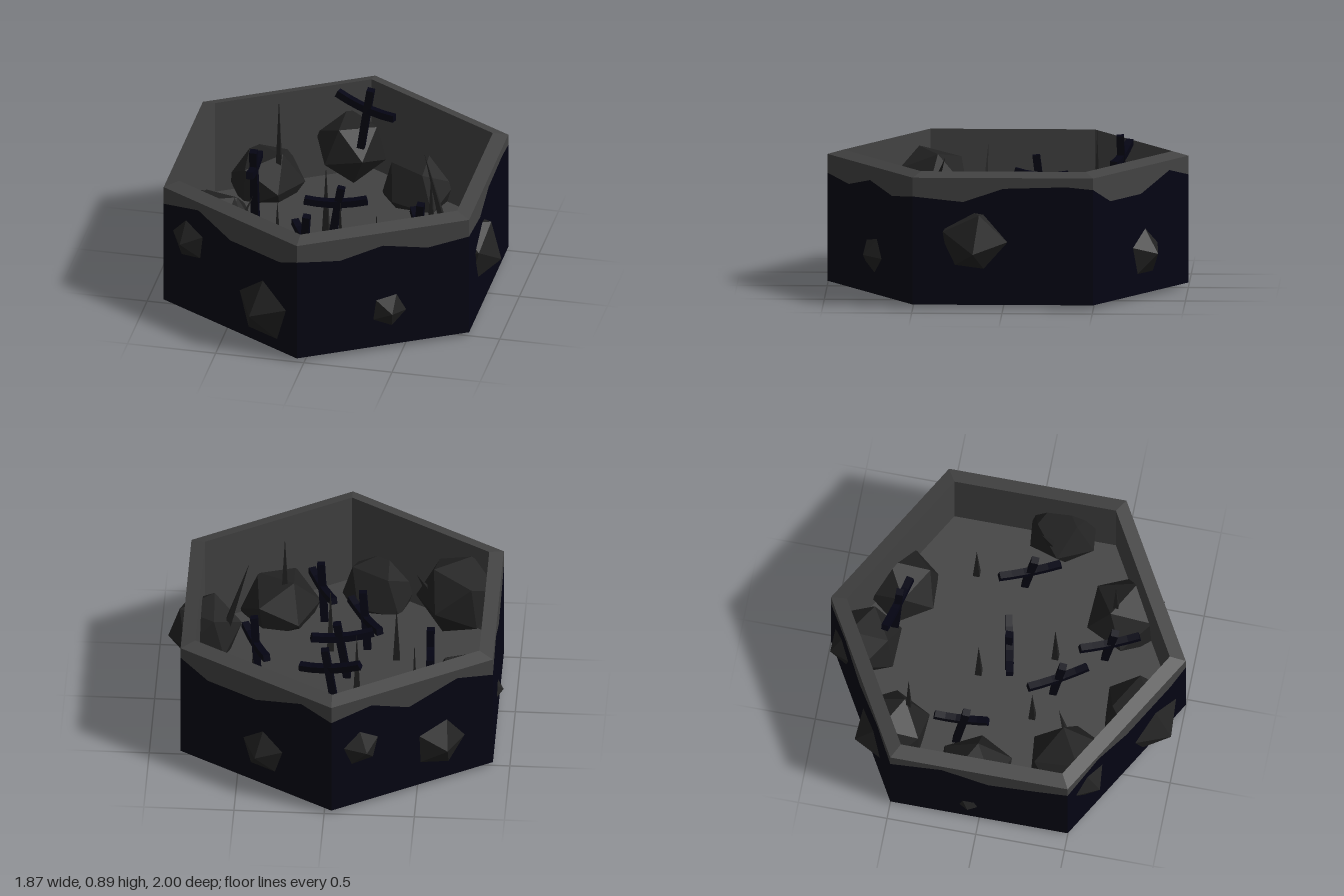
import * as THREE from 'three';

const CX = -0.04, FLOOR = 0.2, BASE = 0.025, RIM = 0.735;
const mat = color => new THREE.MeshStandardMaterial({ color, flatShading: true });
const stone = mat(0x424242), dark = mat(0x040413), rockMat = mat(0x222222);

function add(parent, name, geo, material) {
  const m = new THREE.Mesh(geo, material);
  m.name = name;
  parent.add(m);
  return m;
}

// Six-sided surface from a radius/height profile
function hexLathe(pts) {
  return new THREE.LatheGeometry(pts.map(p => new THREE.Vector2(p[0], p[1])), 6);
}

// Square beam along a bent path
function beam(a, mid, b, w) {
  const path = new THREE.QuadraticBezierCurve3(a, mid, b);
  const h = w / 2;
  const sq = new THREE.Shape([[-h, -h], [h, -h], [h, h], [-h, h]].map(p => new THREE.Vector2(...p)));
  return new THREE.ExtrudeGeometry(sq, { steps: 5, bevelEnabled: false, extrudePath: path });
}

// Outer wall strip on one hex side between two height lines [t, low, high]
function wallStrip(side, rows) {
  const corner = k => new THREE.Vector3(Math.sin(k * Math.PI / 3), 0, Math.cos(k * Math.PI / 3));
  const a = corner(side), b = corner(side + 1), pos = [], idx = [];
  rows.forEach(([t, lo, hi], i) => {
    const p = a.clone().lerp(b, t);
    pos.push(p.x, lo, p.z, p.x, hi, p.z);
    if (i) {
      const k = i * 2;
      idx.push(k - 2, k, k - 1, k, k + 1, k - 1);
    }
  });
  const g = new THREE.BufferGeometry();
  g.setAttribute('position', new THREE.Float32BufferAttribute(pos, 3));
  g.setIndex(idx);
  g.computeVertexNormals();
  return g;
}

export function createModel() {
  const root = new THREE.Group();
  root.name = 'hexTile';

  // Hollow hexagonal basin: sloped rim, inner wall, floor and underside
  const basin = new THREE.Group();
  basin.name = 'basin';
  basin.position.x = CX;
  root.add(basin);
  add(basin, 'rimAndFloor', hexLathe([[1, RIM], [0.91, 0.76], [0.91, FLOOR], [0, FLOOR]]), stone);
  add(basin, 'underside', hexLathe([[0, BASE], [1, BASE]]), dark);

  // Ragged line between the dark wall and the stone top, side by side
  const ragged = [
    [[0, 0.63], [0.25, 0.6], [0.5, 0.655], [0.76, 0.6], [1, 0.63]],
    [[0, 0.63], [0.28, 0.6], [0.5, 0.675], [0.85, 0.685], [1, 0.67]],
    [[0, 0.67], [0.18, 0.585], [0.5, 0.585], [0.8, 0.68], [1, 0.63]],
    [[0, 0.63], [0.25, 0.67], [0.48, 0.58], [0.78, 0.68], [1, 0.63]],
    [[0, 0.63], [0.29, 0.68], [0.55, 0.57], [0.8, 0.6], [1, 0.63]],
    [[0, 0.63], [0.26, 0.685], [0.5, 0.585], [0.87, 0.585], [1, 0.63]],
  ];
  ragged.forEach((line, i) => {
    add(basin, 'lowerWall', wallStrip(i, line.map(([t, y]) => [t, BASE, y])), dark);
    add(basin, 'upperWall', wallStrip(i, line.map(([t, y]) => [t, y, RIM])), stone);
  });

  // Boulders lodged through the walls: x, y, z, radius, outward angle, spin, pitch
  const rocks = [
    [-0.13, 0.40, -0.785, 0.21, 120, 40, 0],
    [0.285, 0.25, -0.655, 0.22, 60, 180, 0],
    [-0.56, 0.27, -0.555, 0.22, 120, 20, 0],
    [0.73, 0.375, 0.165, 0.212, 0, 170, -15],
    [-0.66, 0.47, 0.45, 0.24, 240, 190, 0],
    [-0.205, 0.24, 0.775, 0.225, 240, 180, 0],
    [-0.715, 0.203, -0.06, 0.224, 180, 0, 0],
    [0.34, 0.245, 0.59, 0.228, 300, 10, 0],
  ];
  const rad = THREE.MathUtils.degToRad;
  for (const [x, y, z, r, yaw, spin, pitch] of rocks) {
    const g = new THREE.IcosahedronGeometry(r, 0);
    g.rotateZ(Math.atan2(1 + Math.sqrt(5), 2)).rotateX(rad(spin));
    g.rotateZ(rad(pitch)).rotateY(rad(yaw)).translate(x, y, z);
    add(root, 'boulder', g, rockMat);
  }

  // Crosses: arm ends (x, y, z), top height, foot height
  const crosses = [
    [[-0.21, 0.49, 0.04], [0.13, 0.49, -0.03], 0.57, FLOOR],
    [[-0.545, 0.55, -0.32], [-0.535, 0.57, -0.02], 0.66, FLOOR],
    [[-0.18, 0.79, -0.67], [0.16, 0.71, -0.59], 0.855, 0.5],
    [[0.37, 0.41, -0.13], [0.51, 0.40, 0.19], 0.55, FLOOR],
    [[-0.24, 0.41, 0.15], [-0.06, 0.41, 0.45], 0.55, FLOOR],
    [[0.03, 0.43, 0.39], [0.17, 0.41, 0.70], 0.55, FLOOR],
  ];
  for (const [p, q, top, foot] of crosses) {
    const a = new THREE.Vector3(...p), b = new THREE.Vector3(...q);
    const c = a.clone().lerp(b, 0.5), dir = b.clone().sub(a).setY(0).normalize();
    const cross = new THREE.Group();
    cross.name = 'cross';
    root.add(cross);
    add(cross, 'crossArm', beam(a, c.clone().setY(c.y - 0.04), b, 0.04), dark);
    const low = c.clone().setY(foot - 0.02).addScaledVector(dir, -0.03);
    const high = c.clone().setY(top).addScaledVector(dir, 0.03);
    add(cross, 'crossPost', beam(low, c.clone().setY((top + foot) / 2), high, 0.042), dark);
  }

  // Thin four-sided spikes: foot and tip
  const spikes = [
    [[0.44, FLOOR, -0.27], [0.44, 0.55, -0.27]],
    [[-0.13, FLOOR, -0.15], [-0.13, 0.61, -0.15]],
    [[-0.33, FLOOR, 0.19], [-0.33, 0.55, 0.19]],
    [[0.04, FLOOR, 0.25], [0.04, 0.62, 0.25]],
    [[-0.47, 0.3, -0.48], [-0.47, 0.815, -0.48]],
    [[0.31, 0.35, 0.54], [0.31, 0.74, 0.54]],
    [[0.61, 0.42, 0.12], [0.48, 0.895, 0.09]],
    [[-0.52, 0.45, 0.43], [-0.43, 0.66, 0.36]],
  ];
  for (const [f, t] of spikes) {
    const foot = new THREE.Vector3(...f), axis = new THREE.Vector3(...t).sub(foot), len = axis.length();
    const g = new THREE.ConeGeometry(0.027, len, 4);
    g.rotateY(Math.PI / 4).translate(0, len / 2, 0);
    const s = add(root, 'spike', g, rockMat);
    s.position.copy(foot);
    s.quaternion.setFromUnitVectors(new THREE.Vector3(0, 1, 0), axis.normalize());
  }
  return root;
}
